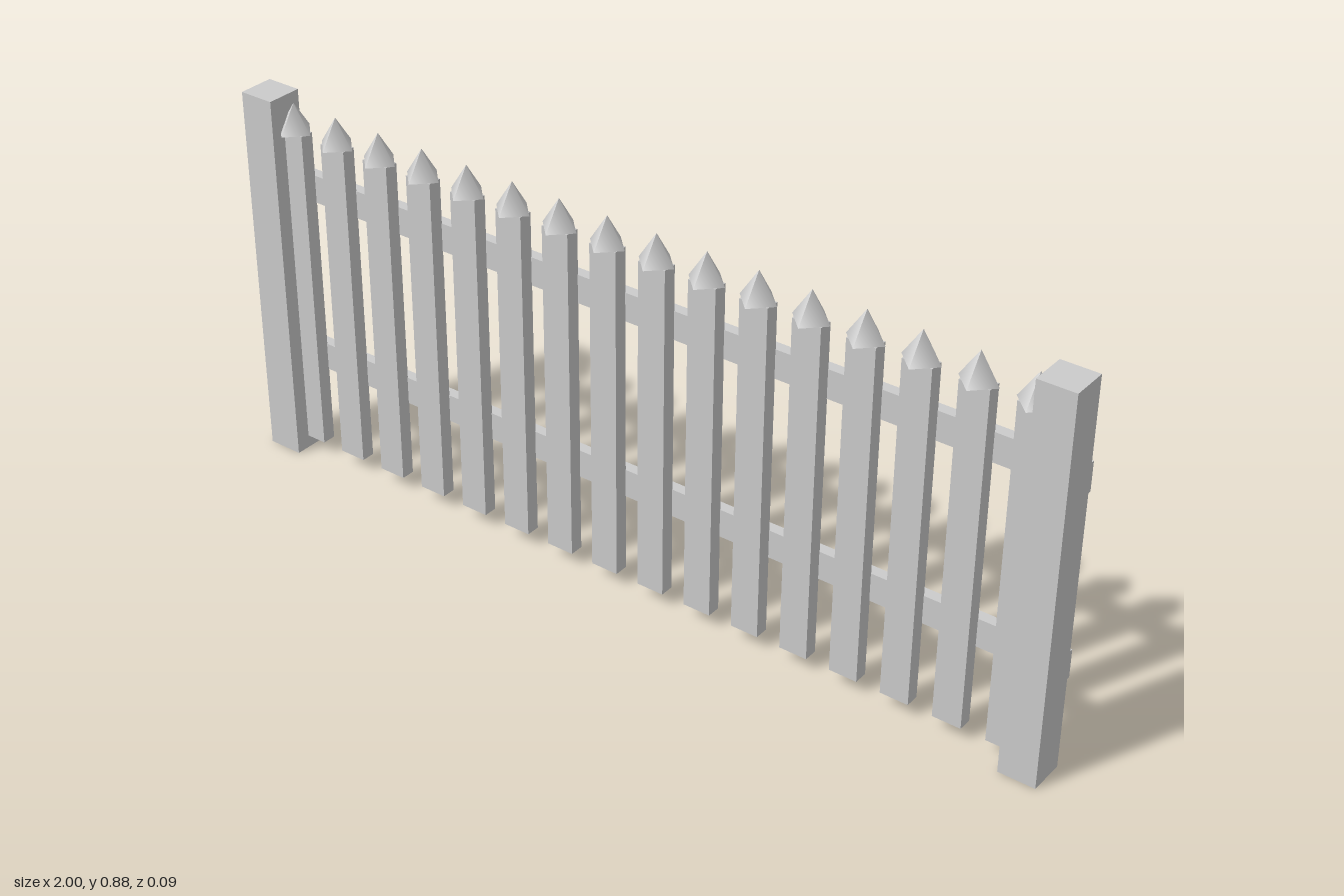
import * as THREE from 'three';

export function createModel() {
  const fence = new THREE.Group();
  fence.name = 'picketFence';
  const material = new THREE.MeshStandardMaterial({ color: 0xcccccc });

  const add = (name, geometry, x, y, z) => {
    const mesh = new THREE.Mesh(geometry, material);
    mesh.name = name;
    mesh.position.set(x, y, z);
    fence.add(mesh);
  };

  // End posts
  const post = new THREE.BoxGeometry(0.083, 0.875, 0.083);
  add('leftPost', post, 0.9585, 0.4375, 0.006);
  add('rightPost', post, -0.9585, 0.4375, 0.006);

  // Two rails across the back
  const rail = new THREE.BoxGeometry(2, 0.065, 0.025);
  add('lowerRail', rail, 0, 0.243, -0.0305);
  add('upperRail', rail, 0, 0.66, -0.0305);

  // Row of pickets, each with a four-sided point set corner-forward
  const picket = new THREE.BoxGeometry(0.065, 0.765, 0.032);
  const point = new THREE.ConeGeometry(0.043, 0.065, 4);
  for (let i = 0; i < 16; i++) {
    const x = -0.9 + i * 0.12;
    add('picket', picket, x, 0.4125, -0.003);
    add('picketPoint', point, x, 0.8275, -0.003);
  }
  return fence;
}
